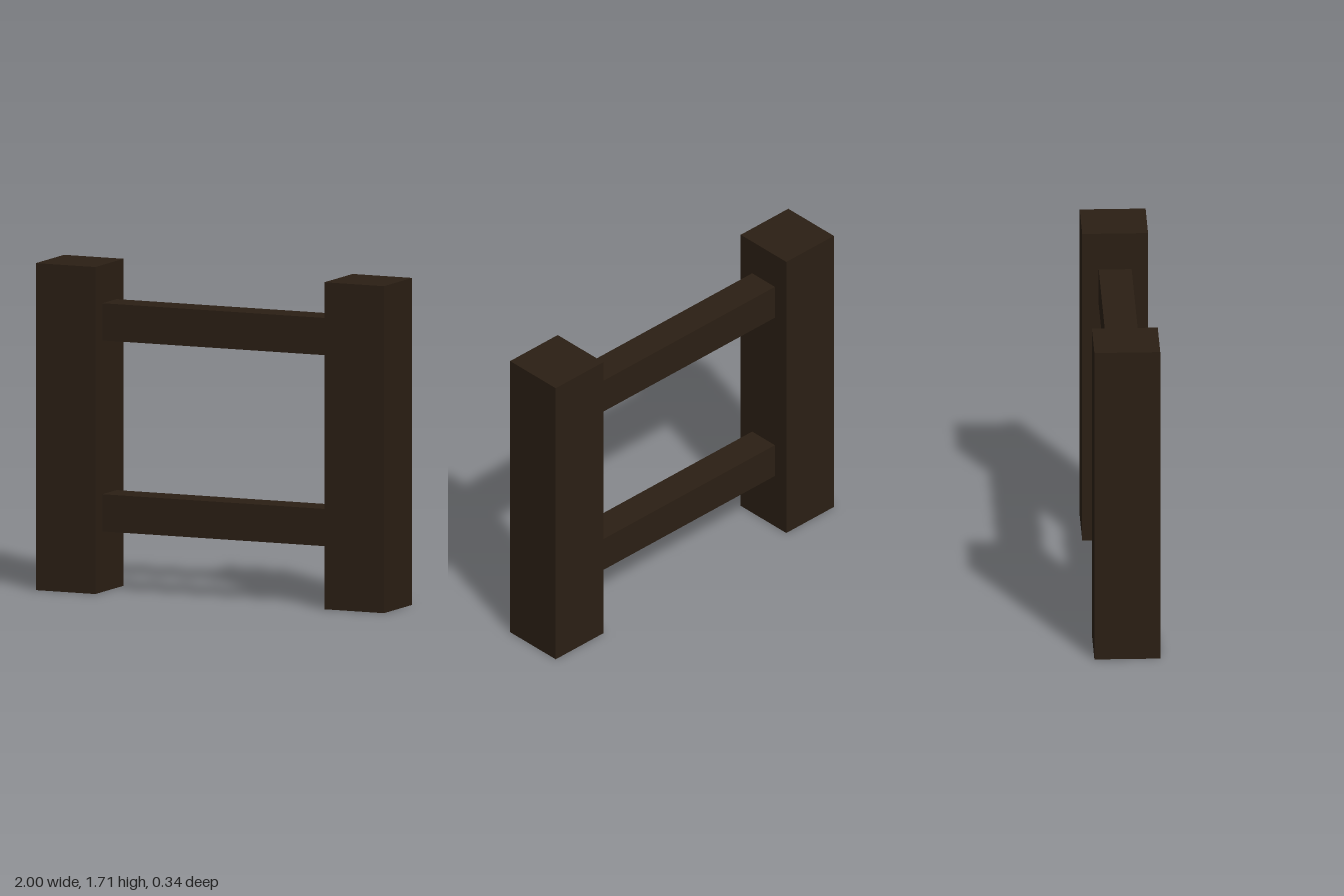
import * as THREE from 'three';

const POST = { size: 0.342, height: 1.714 };
const RAIL = { height: 0.195, depth: 0.171 };

export function createModel() {
  const group = new THREE.Group();
  group.name = 'fence';
  const wood = new THREE.MeshStandardMaterial({ color: 0x2b1f14, flatShading: true });

  const addBox = (name, w, h, d, x, y) => {
    const mesh = new THREE.Mesh(new THREE.BoxGeometry(w, h, d), wood);
    mesh.name = name;
    mesh.position.set(x, y, 0);
    group.add(mesh);
  };

  // Square posts at both ends
  const postX = 1 - POST.size / 2;
  for (const [name, side] of [['leftPost', 1], ['rightPost', -1]]) {
    addBox(name, POST.size, POST.height, POST.size, side * postX, POST.height / 2);
  }

  // Horizontal rails spanning the gap between the posts
  const span = 2 - 2 * POST.size;
  for (const [name, y] of [['lowerRail', 0.415], ['upperRail', 1.416]]) {
    addBox(name, span, RAIL.height, RAIL.depth, 0, y);
  }

  return group;
}
